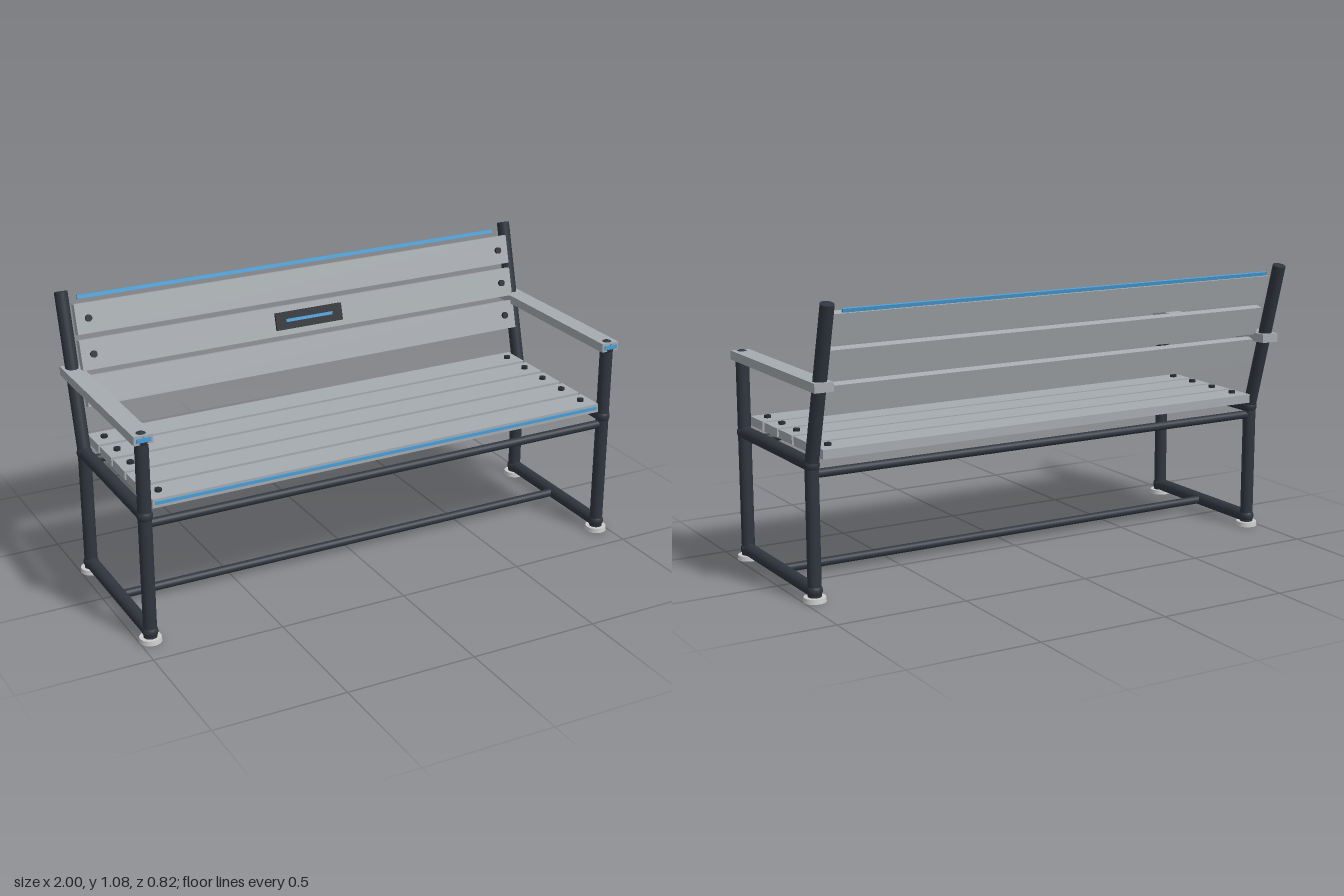
import * as THREE from 'three';

const steel = new THREE.MeshStandardMaterial({ color: 0x30363f });
const slatMat = new THREE.MeshStandardMaterial({ color: 0xa6abaf });
const boltMat = new THREE.MeshStandardMaterial({ color: 0x2a2d33 });
const footMat = new THREE.MeshStandardMaterial({ color: 0xcccccc });
const blue = new THREE.MeshStandardMaterial({ color: 0x4a9fd8 });

const SIDE = 0.958, FRONT = 0.37, REAR = -0.23, SEAT = 0.494, LOW = 0.038, R = 0.025;
const TILT = Math.PI * 15.2 / 180;

function add(parent, name, geometry, material, x, y, z) {
  const mesh = new THREE.Mesh(geometry, material);
  mesh.name = name;
  mesh.position.set(x, y, z);
  parent.add(mesh);
  return mesh;
}

function box(parent, name, material, w, h, d, x, y, z) {
  return add(parent, name, new THREE.BoxGeometry(w, h, d), material, x, y, z);
}

// Straight round bar between two points
function bar(parent, name, a, b, r) {
  const from = new THREE.Vector3(...a), to = new THREE.Vector3(...b);
  const dir = to.clone().sub(from);
  const mid = from.clone().add(to).multiplyScalar(0.5);
  const mesh = add(parent, name, new THREE.CylinderGeometry(r, r, dir.length(), 24), steel, mid.x, mid.y, mid.z);
  mesh.quaternion.setFromUnitVectors(new THREE.Vector3(0, 1, 0), dir.normalize());
}

function joint(parent, x, y, z) {
  add(parent, 'joint', new THREE.SphereGeometry(0.029, 24, 16), steel, x, y, z);
}

// One side: legs, rails, post, feet and armrest
function sideFrame(x) {
  const g = new THREE.Group();
  g.name = x > 0 ? 'leftFrame' : 'rightFrame';
  bar(g, 'frontLeg', [x, 0.015, FRONT], [x, 0.775, FRONT], R);
  bar(g, 'rearLeg', [x, 0.015, REAR], [x, SEAT, REAR], R);
  bar(g, 'seatRail', [x, SEAT, FRONT], [x, SEAT, REAR], R);
  bar(g, 'bottomRail', [x, LOW, FRONT], [x, LOW, REAR], R);
  bar(g, 'backPost', [x, SEAT, REAR], [x, 1.077, -0.388], R);
  for (const z of [FRONT, REAR]) {
    joint(g, x, LOW + 0.002, z);
    joint(g, x, SEAT, z);
    add(g, 'foot', new THREE.CylinderGeometry(0.04, 0.042, 0.018, 28), footMat, x, 0.009, z);
  }
  joint(g, x, 0.78, FRONT);
  box(g, 'armrest', slatMat, 0.072, 0.034, 0.742, x, 0.786, 0.023);
  box(g, 'armrestMarker', blue, 0.055, 0.016, 0.008, x, 0.786, 0.395);
  return g;
}

export function createModel() {
  const model = new THREE.Group();
  model.name = 'bench';
  model.add(sideFrame(SIDE), sideFrame(-SIDE));

  // Cross rails
  bar(model, 'frontCrossRail', [-SIDE, 0.461, FRONT], [SIDE, 0.461, FRONT], 0.016);
  bar(model, 'rearCrossRail', [-SIDE, 0.461, REAR], [SIDE, 0.461, REAR], 0.016);
  bar(model, 'bottomStretcher', [-SIDE, 0.039, 0.07], [SIDE, 0.039, 0.07], 0.016);

  // Seat slats with bolts
  const bolt = new THREE.CylinderGeometry(0.013, 0.013, 0.014, 16);
  const seat = new THREE.Group();
  seat.name = 'seat';
  model.add(seat);
  for (let i = 0; i < 5; i++) {
    const z = 0.32 - i * 0.132;
    box(seat, 'seatSlat', slatMat, 1.86, 0.034, 0.115, 0, 0.533, z);
    for (const x of [-0.885, 0.885]) add(seat, 'seatBolt', bolt, boltMat, x, 0.553, z);
  }
  box(seat, 'seatStrip', blue, 1.84, 0.012, 0.006, 0, 0.535, 0.379);

  // Leaning backrest, built upright from the rear seat joint
  const back = new THREE.Group();
  back.name = 'backrest';
  back.position.set(0, SEAT, REAR);
  back.rotation.x = -TILT;
  model.add(back);
  for (let i = 0; i < 3; i++) {
    const y = 0.229 + i * 0.134;
    box(back, 'backSlat', slatMat, 1.865, 0.113, 0.03, 0, y, 0.037);
    for (const x of [-0.885, 0.885]) {
      add(back, 'backBolt', bolt, boltMat, x, y, 0.055).rotation.x = Math.PI / 2;
    }
  }
  box(back, 'plaque', boltMat, 0.286, 0.068, 0.01, 0, 0.363, 0.056);
  box(back, 'plaqueStrip', blue, 0.2, 0.012, 0.006, 0, 0.363, 0.061);
  box(back, 'topStrip', blue, 1.8, 0.014, 0.008, 0, 0.575, 0);
  return model;
}
